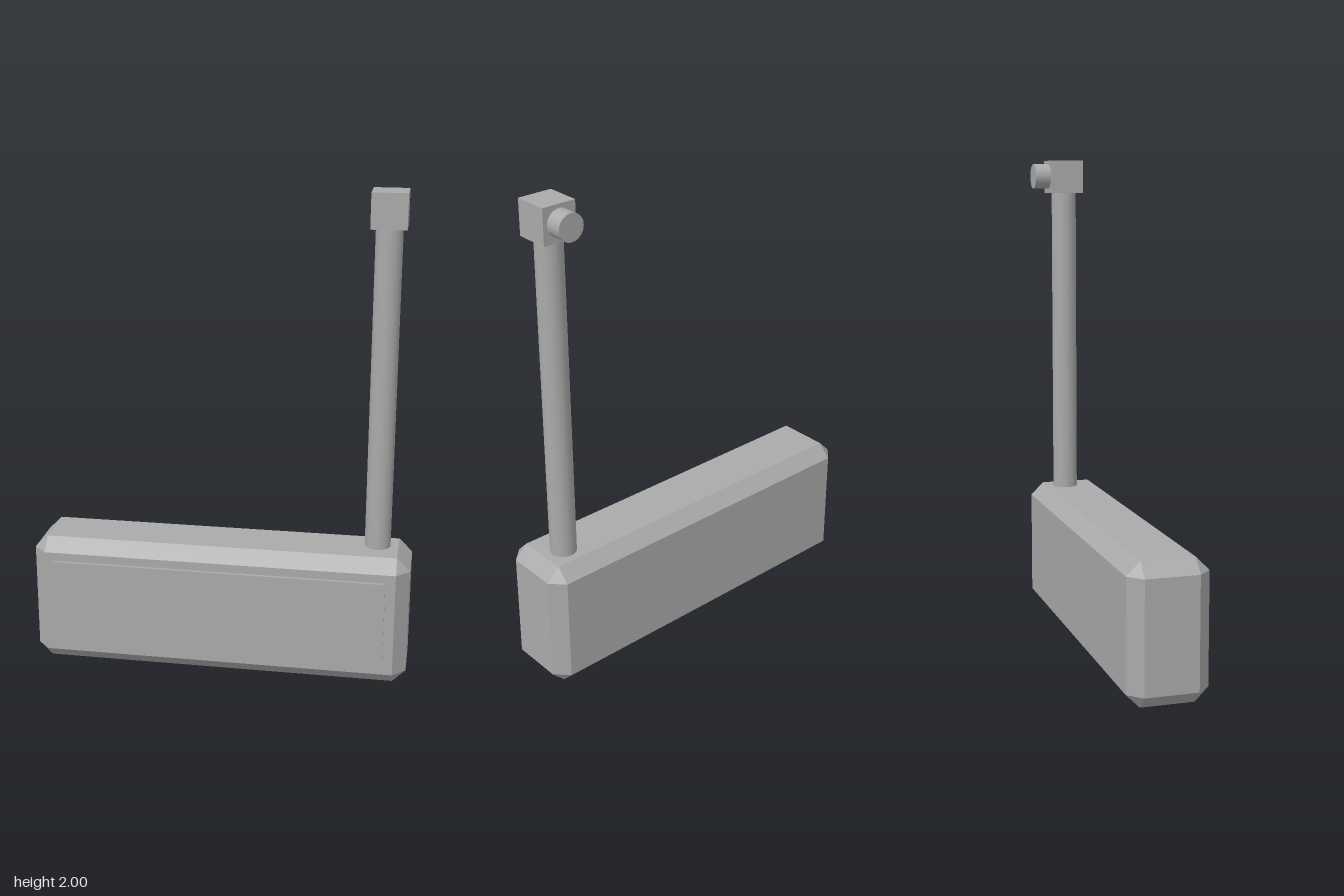
import * as THREE from 'three';
import { ConvexGeometry } from 'three/addons/geometries/ConvexGeometry.js';

// Box with every edge cut at 45 degrees, centred on the origin
function chamferedBox(w, h, d, c) {
  const points = [];
  for (const x of [-w / 2, w / 2])
    for (const y of [-h / 2, h / 2])
      for (const z of [-d / 2, d / 2]) {
        const ix = x - Math.sign(x) * c, iy = y - Math.sign(y) * c, iz = z - Math.sign(z) * c;
        points.push(
          new THREE.Vector3(x, iy, iz),
          new THREE.Vector3(ix, y, iz),
          new THREE.Vector3(ix, iy, z)
        );
      }
  return new ConvexGeometry(points);
}

export function createModel() {
  const model = new THREE.Group();
  const grey = new THREE.MeshStandardMaterial({ color: 0xaaaaaa });
  grey.name = 'grey';

  const add = (name, geometry, x, y, z) => {
    const mesh = new THREE.Mesh(geometry, grey);
    mesh.name = name;
    mesh.position.set(x, y, z);
    model.add(mesh);
    return mesh;
  };

  // Chamfered housing with a raised panel on the front
  add('housing', chamferedBox(1.56, 0.55, 0.32, 0.054), 0, 0.275, -0.007);
  add('frontPanel', new THREE.BoxGeometry(1.37, 0.366, 0.03), 0, 0.278, 0.152);

  // Upright pole carrying a cube head, with a stub pointing backwards
  const px = 0.64, pz = -0.03;
  add('pole', new THREE.CylinderGeometry(0.053, 0.053, 1.34, 32), px, 1.2, pz);
  add('head', new THREE.BoxGeometry(0.14, 0.14, 0.14), px, 1.93, pz);
  const stub = add('rearStub', new THREE.CylinderGeometry(0.053, 0.053, 0.077, 32), px, 1.932, -0.1285);
  stub.rotation.x = Math.PI / 2;

  return model;
}
